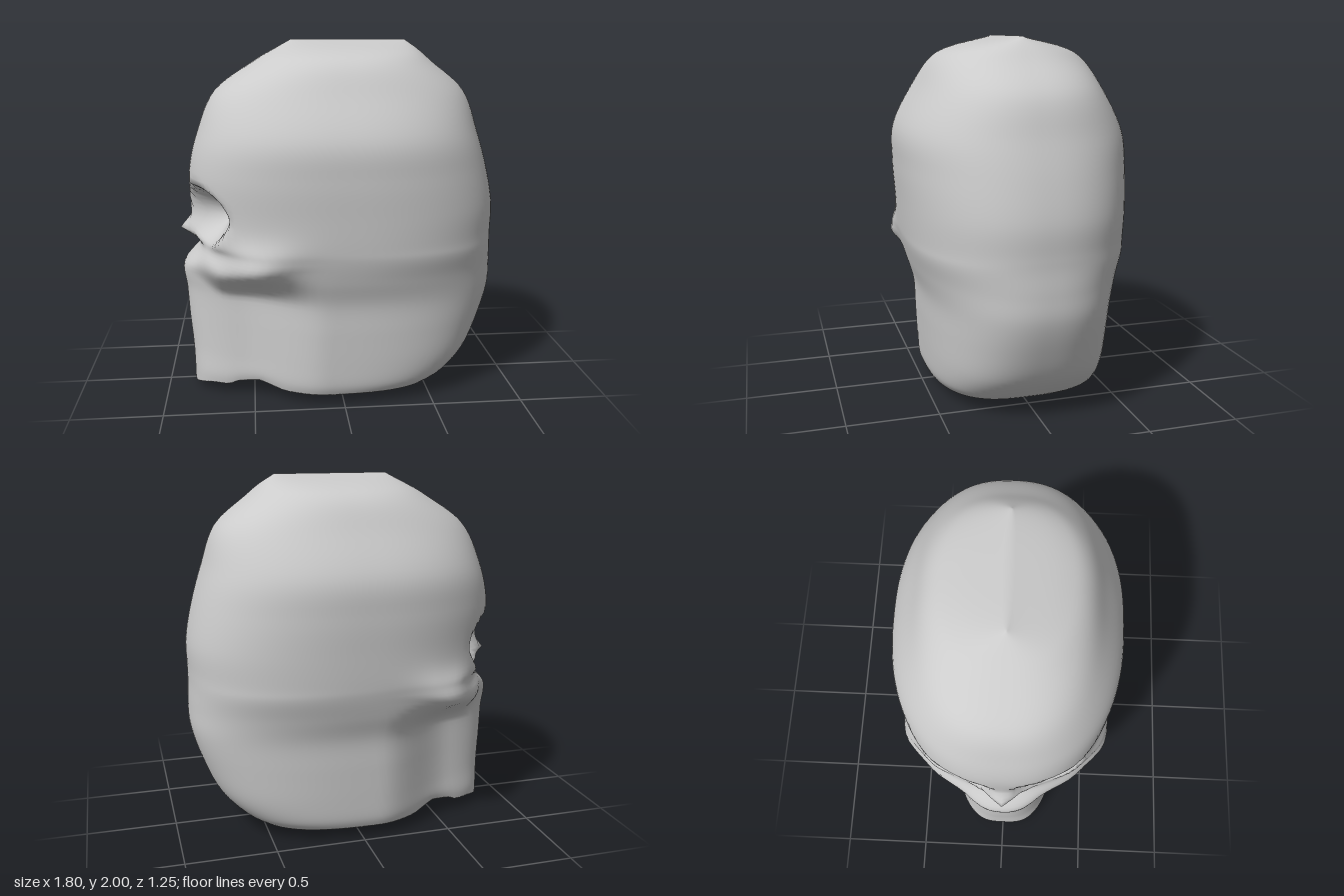
import * as THREE from 'three';
import { mergeVertices } from 'three/addons/utils/BufferGeometryUtils.js';

const SEGMENTS = 112;
const STEPS = 6;
const smooth = (a, b, v) => THREE.MathUtils.smoothstep(v, a, b);

// Height: face x, back x, half width, squareness (crown to base)
const LEVELS = [
  [2.00, -0.26, 0.38, 0, 2.4],
  [1.95, -0.35, 0.45, 0.26, 2.4],
  [1.88, -0.47, 0.53, 0.40, 2.4],
  [1.72, -0.69, 0.71, 0.50, 2.4],
  [1.50, -0.79, 0.79, 0.61, 2.4],
  [1.30, -0.84, 0.85, 0.62, 2.4],
  [1.10, -0.84, 0.89, 0.61, 2.4],
  [0.94, -0.83, 0.89, 0.60, 2.4],
  [0.86, -0.79, 0.89, 0.59, 2.4],
  [0.74, -0.89, 0.895, 0.56, 2.4],
  [0.60, -0.88, 0.89, 0.52, 2.5],
  [0.43, -0.87, 0.84, 0.51, 2.6],
  [0.25, -0.855, 0.76, 0.50, 2.8],
  [0.13, -0.85, 0.65, 0.49, 3],
  [0.07, -0.85, 0.56, 0.47, 3],
];

// Smooth curve of each column against height
const CURVES = [1, 2, 3, 4].map((column) =>
  new THREE.SplineCurve(LEVELS.map((row) => new THREE.Vector2(row[0], row[column]))));

// Underside height along x, dipping at the chin
const UNDERSIDE = [
  [-0.85, 0.04], [-0.75, 0], [-0.61, 0.09], [-0.47, 0.11], [-0.3, 0.06], [0.56, 0.07],
];

function undersideAt(x) {
  const i = UNDERSIDE.findIndex((row) => row[0] >= x);
  if (i === 0) return UNDERSIDE[0][1];
  if (i < 0) return 0.07;
  const [x0, y0] = UNDERSIDE[i - 1], [x1, y1] = UNDERSIDE[i];
  return y0 + (y1 - y0) * (x - x0) / (x1 - x0);
}

// Carve and swell one surface point into facial features
function sculpt(p) {
  const { x, y } = p;
  const side = Math.sign(p.z);

  // Narrow jaw; the pinch climbs higher between cheek and nose
  const pinch = 1 - smooth(-0.58, -0.1, x);
  const pinchTop = 0.79 + 0.1 * (1 - smooth(-0.82, -0.66, x));
  p.z *= 1 - 0.34 * pinch * (1 - smooth(pinchTop - 0.2, pinchTop, y));

  // Cheekbones, tapering backwards and upwards
  const dx = (x + 0.5) / (x > -0.5 ? 0.2 : 0.15);
  const dy = (y - 0.83 - 0.2 * Math.max(0, x + 0.45)) / (y > 0.83 ? 0.11 : 0.08);
  p.z += side * 0.085 * Math.exp(-dx * dx - dy * dy);

  // Eye sockets, with a floor that slopes forward
  if (x < -0.4) {
    const d = Math.hypot((Math.abs(p.z) - 0.28) / 0.21, (y - 1.05) / 0.18);
    const floor = -0.59 - 0.7 * Math.max(0, 1.06 - y);
    p.x += Math.max(0, floor - x) * (1 - smooth(0.5, 1.1, d));
  }

  // Nose spur
  if (x < -0.6) {
    const nose = Math.max(0, 1 - Math.abs(p.z) / 0.1) * Math.max(0, 1 - Math.abs(y - 0.94) / 0.08);
    p.x -= 0.075 * nose;
  }

  // Uneven lower rim, lowest along the middle of the chin
  if (y < 0.22) {
    const rim = Math.max(undersideAt(x), Math.min(0.07, Math.abs(p.z) * 0.3));
    p.y = rim + (y - 0.07) * (0.22 - rim) / 0.15;
  }
  return p;
}

function ring(t, widthScale = 1) {
  const [front, back, half, n] = CURVES.map((curve) => curve.getPoint(t).y);
  const y = CURVES[0].getPoint(t).x;
  const points = [];
  for (let j = 0; j < SEGMENTS; j++) {
    const a = (j / SEGMENTS) * Math.PI * 2;
    const c = Math.cos(a), s = Math.sin(a);
    const r = (Math.abs(c) ** n + Math.abs(s) ** n) ** (-1 / n);
    const z = r * s * half * widthScale;
    points.push(sculpt(new THREE.Vector3((front + back) / 2 + r * c * (back - front) / 2, y, z)));
  }
  return points;
}

function skullGeometry() {
  const rings = [];
  const count = (LEVELS.length - 1) * STEPS;
  for (let i = 0; i <= count; i++) rings.push(ring(i / count));
  // Underside closes toward the centre line
  for (const scale of [0.8, 0.5, 0.25, 0]) rings.push(ring(1, scale));

  const index = [];
  for (let i = 0; i < rings.length - 1; i++) {
    for (let j = 0; j < SEGMENTS; j++) {
      const k = (j + 1) % SEGMENTS;
      const a = i * SEGMENTS + j, b = i * SEGMENTS + k;
      index.push(a, b, a + SEGMENTS, b, b + SEGMENTS, a + SEGMENTS);
    }
  }
  const shell = new THREE.BufferGeometry().setFromPoints(rings.flat());
  shell.setIndex(index);
  // Weld the crown and underside seams so they shade smoothly
  const geometry = mergeVertices(shell, 1e-4);
  geometry.computeVertexNormals();
  return geometry;
}

export function createModel() {
  const group = new THREE.Group();
  group.name = 'skull';
  const material = new THREE.MeshStandardMaterial({ color: 0xcccccc });
  const skull = new THREE.Mesh(skullGeometry(), material);
  skull.name = 'skullShell';
  group.add(skull);
  return group;
}
